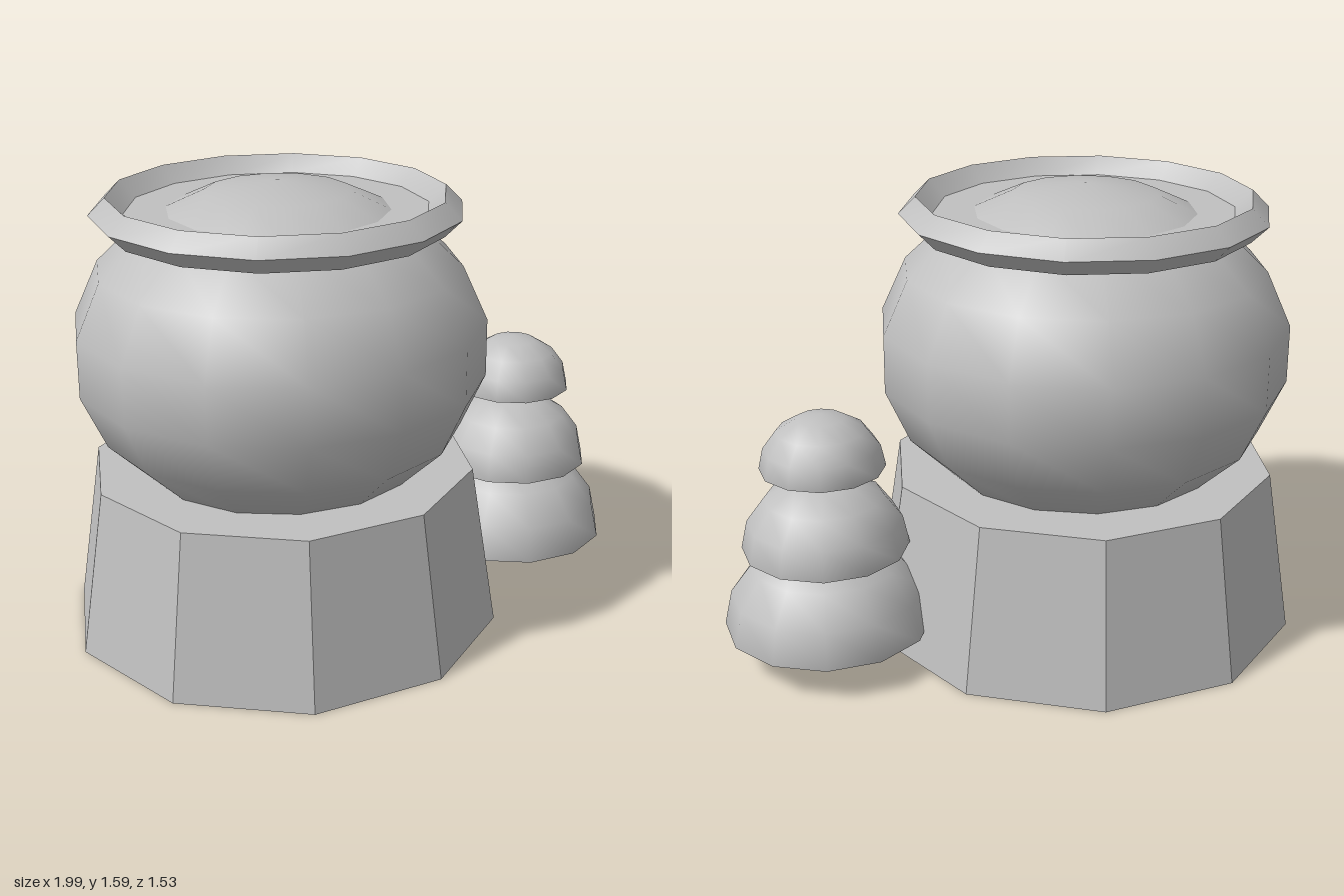
import * as THREE from 'three';
import { toCreasedNormals } from 'three/addons/utils/BufferGeometryUtils.js';

export function createModel() {
  const model = new THREE.Group();
  const stone = new THREE.MeshStandardMaterial({ color: 0xc0c0c0 });
  stone.name = 'grey';
  stone.side = THREE.DoubleSide;

  const add = (parent, name, geometry, x, y, z) => {
    const mesh = new THREE.Mesh(geometry, stone);
    mesh.name = name;
    mesh.position.set(x, y, z);
    parent.add(mesh);
    return mesh;
  };

  const potX = -0.27;

  // ten-sided tapered plinth with flat faces
  const plinth = new THREE.CylinderGeometry(0.675, 0.766, 0.58, 10);
  add(model, 'plinth', toCreasedNormals(plinth, 0.4), potX, 0.29, 0);

  // squashed round pot
  const pot = new THREE.SphereGeometry(0.72, 14, 9);
  pot.scale(1, 0.8, 1).rotateY(Math.PI / 2);
  add(model, 'pot', pot, potX, 1.01, 0);

  // diamond-section rim
  const rim = new THREE.TorusGeometry(0.573, 0.058, 4, 14);
  rim.rotateX(-Math.PI / 2);
  add(model, 'rim', toCreasedNormals(rim, 0.7), potX, 1.49, 0);

  // flat surface filling the rim
  const surface = new THREE.CircleGeometry(0.53, 14);
  surface.rotateX(-Math.PI / 2);
  add(model, 'surface', surface, potX, 1.49, 0);

  // three stacked open domes forming a small bush
  const bush = new THREE.Group();
  bush.name = 'bush';
  bush.position.set(0.637, 0, -0.287);
  [[0.358, 0.123], [0.286, 0.411], [0.213, 0.7]].forEach(([radius, y], i) => {
    const dome = new THREE.SphereGeometry(radius, 12, 4, 0, Math.PI * 2, 0, Math.PI / 2);
    dome.scale(1, 0.9, 1);
    add(bush, `bushTier${i + 1}`, dome, 0, y, 0);
  });
  model.add(bush);

  return model;
}
